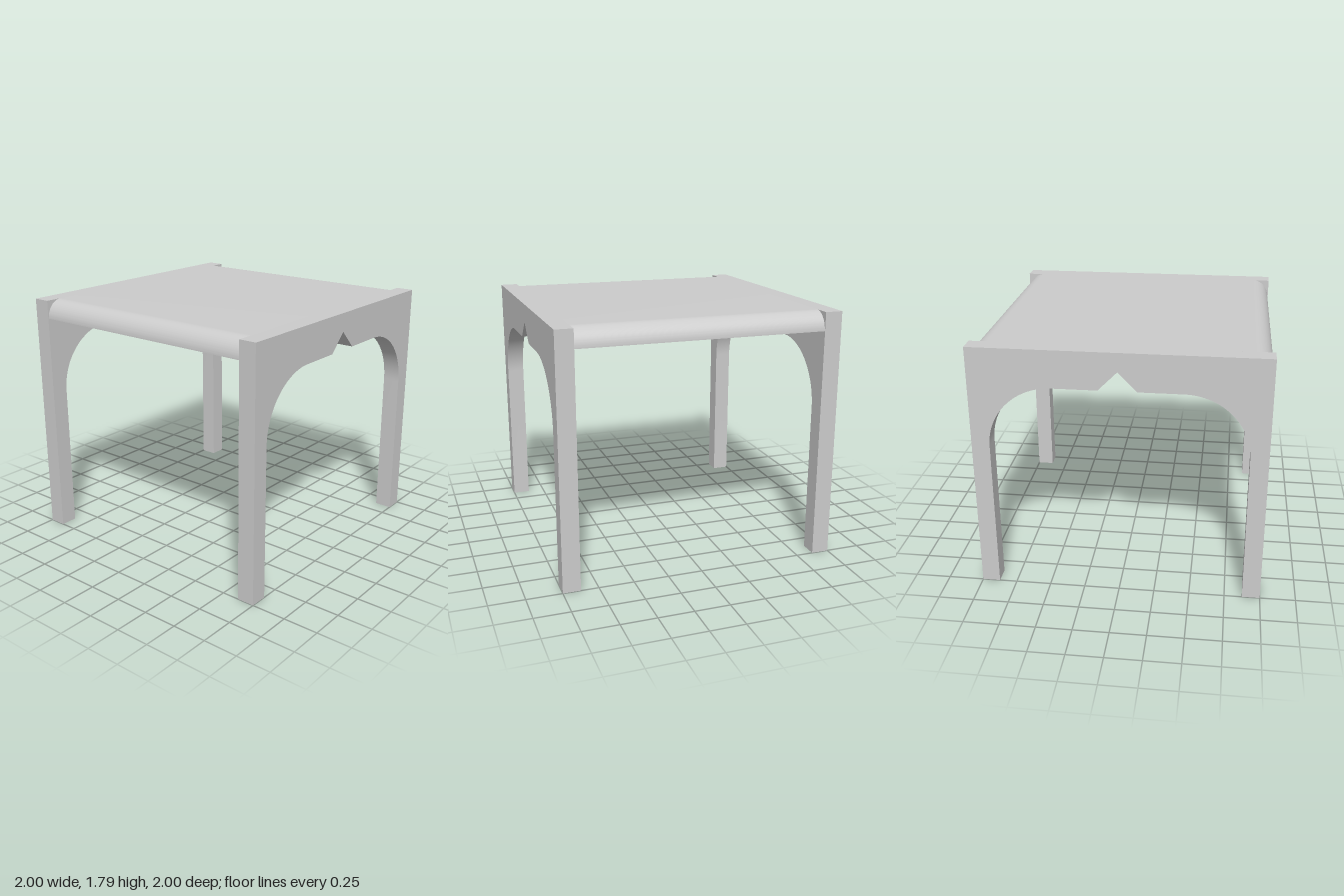
import * as THREE from 'three';
import { toCreasedNormals } from 'three/addons/utils/BufferGeometryUtils.js';

const H = 1.79;   // overall height
const T = 0.125;  // leg and board thickness
const UNDER = H - 0.132; // underside of the top board

export function createModel() {
  const group = new THREE.Group();
  group.name = 'table';
  const material = new THREE.MeshStandardMaterial({ color: 0xcccccc });

  // Extrudes a (z, y) profile along x, centred on the given x
  const addProfile = (name, shape, width, x) => {
    const extruded = new THREE.ExtrudeGeometry(shape, {
      depth: width, bevelEnabled: false, curveSegments: 16,
    });
    extruded.translate(0, 0, -width / 2).rotateY(-Math.PI / 2);
    const mesh = new THREE.Mesh(toCreasedNormals(extruded, 0.5), material);
    mesh.name = name;
    mesh.position.x = x;
    group.add(mesh);
  };

  // Side frame: two legs joined by an apron with rounded corners and a notch
  const inner = 1 - T, r = 0.44, apron = 1.527, notch = 0.13;
  const frame = new THREE.Shape();
  frame.moveTo(-1, 0);
  frame.lineTo(-inner, 0);
  frame.lineTo(-inner, apron - r);
  frame.absarc(-inner + r, apron - r, r, Math.PI, Math.PI / 2, true);
  frame.lineTo(-notch, apron);
  frame.lineTo(0, UNDER);
  frame.lineTo(notch, apron);
  frame.absarc(inner - r, apron - r, r, Math.PI / 2, 0, true);
  frame.lineTo(inner, 0);
  frame.lineTo(1, 0);
  frame.lineTo(1, H);
  frame.lineTo(-1, H);
  frame.closePath();
  addProfile('leftSideFrame', frame, T, 1 - T / 2);
  addProfile('rightSideFrame', frame, T, -1 + T / 2);

  // Top board between the frames, quarter-rounded at front and back
  const board = new THREE.Shape();
  board.moveTo(-0.995, UNDER);
  board.lineTo(0.995, UNDER);
  board.absellipse(inner, UNDER, 0.12, H - UNDER, 0, Math.PI / 2, false);
  board.absellipse(-inner, UNDER, 0.12, H - UNDER, Math.PI / 2, Math.PI, false);
  addProfile('topBoard', board, 2 * inner, 0);

  return group;
}
